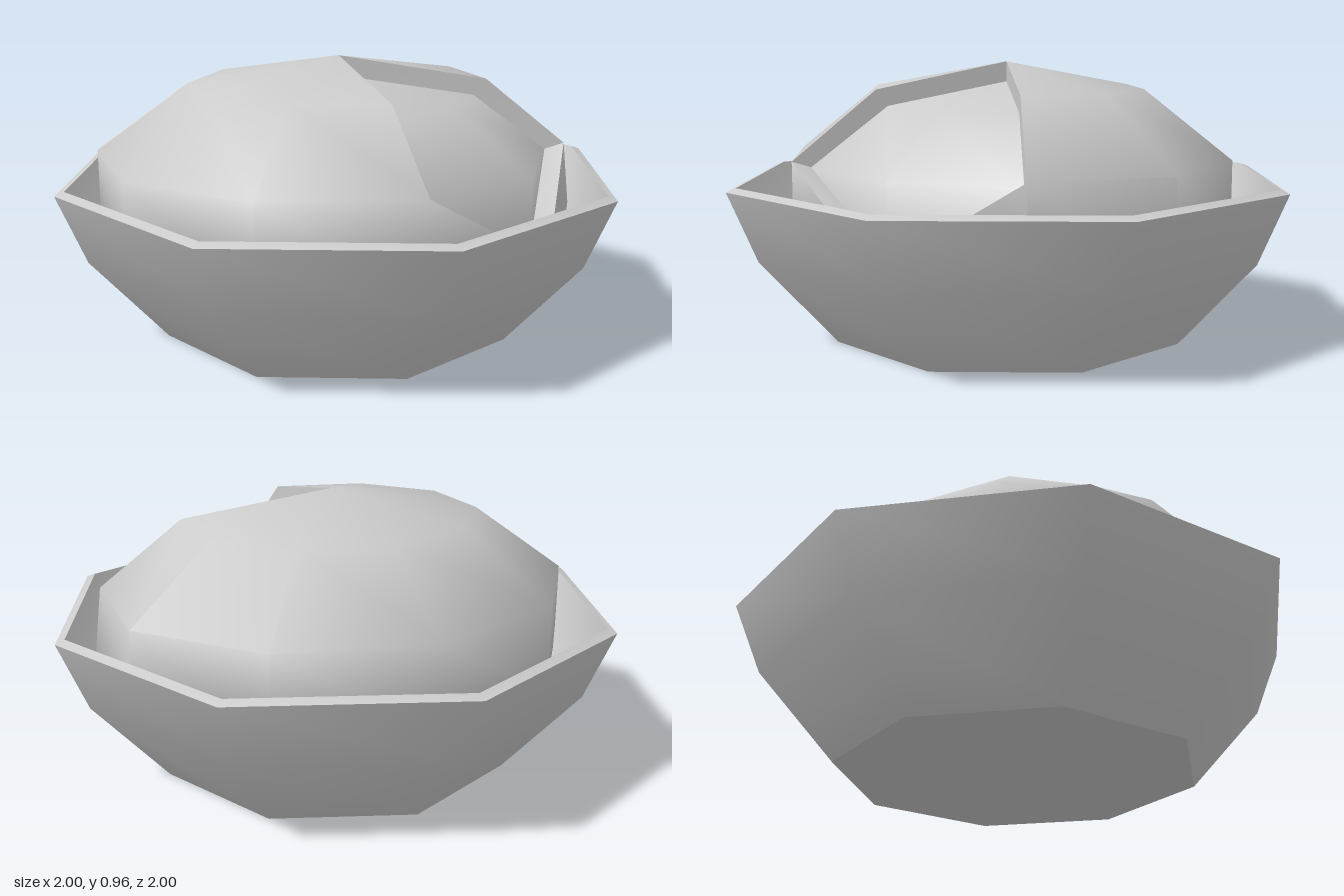
import * as THREE from 'three';
import { toCreasedNormals } from 'three/addons/utils/BufferGeometryUtils.js';

const COLS = 10, ROWS = 5;

// Point on the flattened ball: column i runs from the front toward +x, row j from the top down
function ballPoint(i, j, inner) {
  const phi = ((i % COLS) / COLS) * Math.PI * 2, theta = (j / ROWS) * Math.PI;
  const p = new THREE.Vector3(
    0.9 * Math.sin(theta) * Math.sin(phi),
    0.47 * Math.cos(theta),
    0.81 * Math.sin(theta) * Math.cos(phi));
  if (i === 2 && j === 2) p.x *= 0.955; // pinched corner of the notch
  if (inner) p.multiply(new THREE.Vector3(0.915, 0.85, 0.915));
  return p.add(new THREE.Vector3(0, 0.49, 0.01));
}

// Triangles to a geometry with smooth faces and sharp edges
function build(tris, crease) {
  const geo = new THREE.BufferGeometry().setFromPoints(tris);
  return toCreasedNormals(geo, crease);
}

function createBall() {
  const outer = [], recess = [];
  const tri = (cut, ...corners) =>
    (cut ? recess : outer).push(...corners.map(([i, j]) => ballPoint(i, j, cut)));

  for (let j = 0; j < ROWS; j++) {
    for (let i = 0; i < COLS; i++) {
      const a = [i, j], b = [i + 1, j], c = [i, j + 1], d = [i + 1, j + 1];
      const wedge = i < 2;
      if (j === 0) tri(wedge, a, c, d);
      else if (j === ROWS - 1) tri(false, a, c, b);
      else if (j === 2 && i === 1) {
        tri(true, a, c, b);
        tri(false, c, d, b);
      } else {
        tri(wedge && j === 1, a, c, d);
        tri(wedge && j <= 2, a, d, b);
      }
    }
  }

  // Walls joining the outer skin to the sunken notch
  const rim = [[0, 0], [0, 1], [0, 2], [1, 3], [2, 2], [2, 1]];
  const walls = [];
  rim.forEach(([i, j], k) => {
    const [m, n] = rim[(k + 1) % rim.length];
    const p = ballPoint(i, j), q = ballPoint(m, n);
    const p2 = ballPoint(i, j, true), q2 = ballPoint(m, n, true);
    walls.push(p, q, q2, p, q2, p2);
  });
  return { ball: build(outer, 1.1), notchFloor: build(recess, 1.1), notchWalls: build(walls, 0.3) };
}

export function createModel() {
  const group = new THREE.Group();
  const material = new THREE.MeshStandardMaterial({ color: 0xcccccc });
  const add = (name, geometry) => {
    const mesh = new THREE.Mesh(geometry, material);
    mesh.name = name;
    group.add(mesh);
  };

  // Eight-sided hollow bowl
  const profile = [
    [0, 0], [0.635, 0], [0.9, 0.3], [1, 0.542], [0.967, 0.555],
    [0.87, 0.315], [0.615, 0.03], [0, 0.03],
  ].map(([r, y]) => new THREE.Vector2(r, y));
  add('bowl', toCreasedNormals(new THREE.LatheGeometry(profile, 8), 0.8));

  // Ball resting in the bowl, with a notch cut into its front
  for (const [name, geometry] of Object.entries(createBall())) add(name, geometry);

  return group;
}
